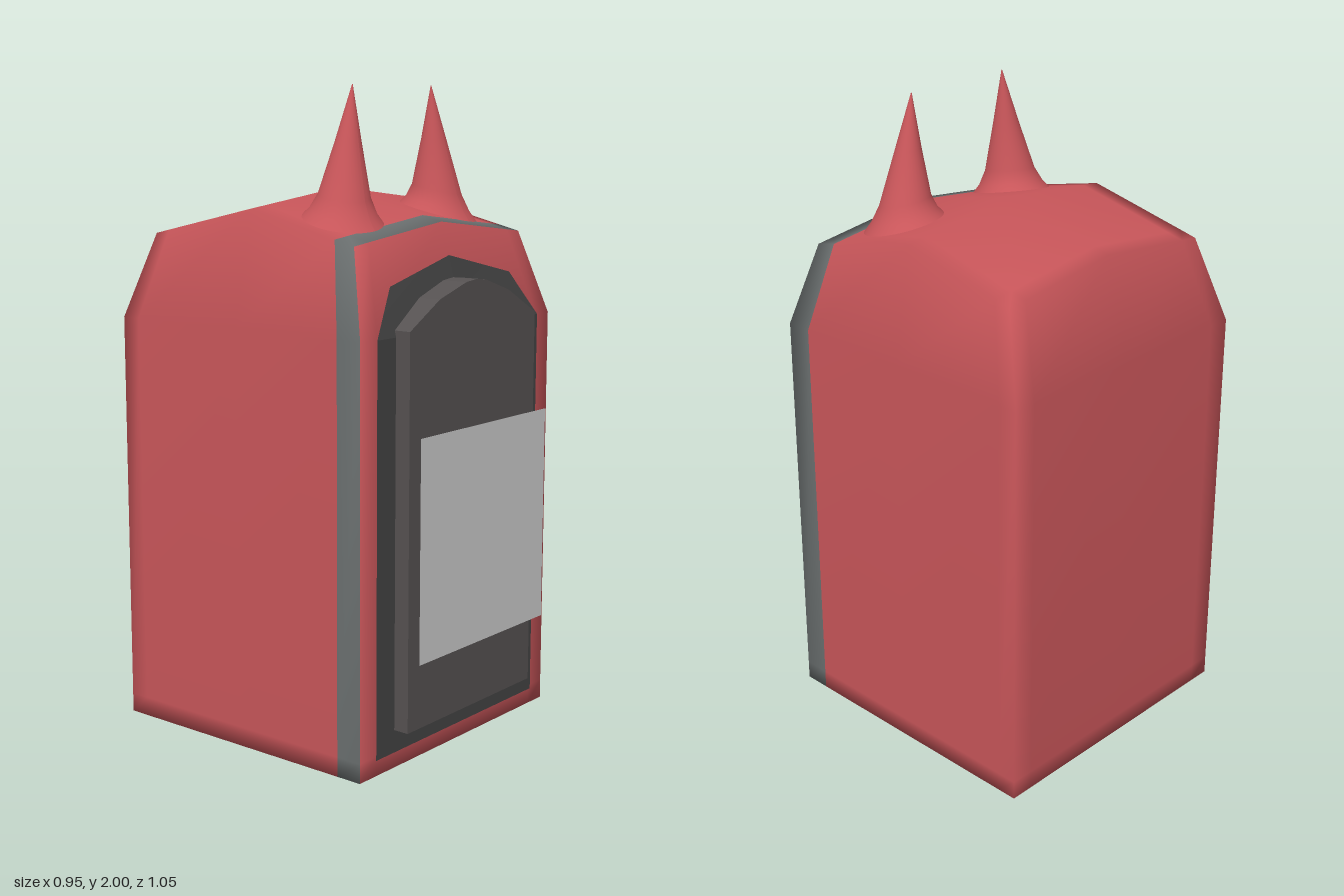
import * as THREE from 'three';
import { mergeVertices } from 'three/addons/utils/BufferGeometryUtils.js';

const mat = (color, extra = {}) => new THREE.MeshStandardMaterial({ color, ...extra });
const red = mat(0xc9565a);
const trimGrey = mat(0x6b7070);
const frameDark = mat(0x444444, { side: THREE.DoubleSide });
const doorDark = mat(0x565252);
const paleGrey = mat(0xcccccc, { side: THREE.DoubleSide });

// Shallow hipped roof height
const roof = (x, z) => 1.69 - 0.23 * Math.abs(z + 0.05) - 0.12 * Math.abs(x);
// Front wall: upright, then leaning back above the shoulder
const front = (x, y) => 0.425 - 0.075 * Math.max(0, y - 1.29) / (roof(x, 0.35) - 1.29);

function add(parent, name, geometry, material) {
  const mesh = new THREE.Mesh(geometry, material);
  mesh.name = name;
  parent.add(mesh);
  return mesh;
}

function outline(points) {
  return new THREE.Shape(points.map(([x, y]) => new THREE.Vector2(x, y)));
}

// Smooth shell on a grid with narrow rows along the edges
function makeShell(parent) {
  const X = [-0.475, -0.4, 0, 0.4, 0.475];
  const Y = [0, 0.06, 1.29, 1.57];
  const Z = [-0.525, -0.46, -0.05, 0.34, 0.425];
  const box = new THREE.BoxGeometry(1, 1, 1, 4, 3, 4);
  box.deleteAttribute('uv');
  box.deleteAttribute('normal');
  const shell = mergeVertices(box);
  const pos = shell.attributes.position;
  const zLevel = [];
  for (let i = 0; i < pos.count; i++) {
    const level = (v, n) => Math.round((v + 0.5) * n);
    const j = level(pos.getY(i), 3);
    zLevel[i] = level(pos.getZ(i), 4);
    let x = X[level(pos.getX(i), 4)], y = Y[j], z = Z[zLevel[i]];
    if (j === 3) {
      x *= 0.41 / 0.475;
      z = -0.045 + (z + 0.05) * 0.83;
      y = roof(x, z);
    }
    pos.setXYZ(i, x, y, z);
  }
  shell.computeVertexNormals();

  // The row just behind the front edge is the grey trim
  const bodyIndex = [], trimIndex = [];
  for (let i = 0; i < shell.index.count; i += 3) {
    const tri = [0, 1, 2].map((k) => shell.index.getX(i + k));
    const inBand = tri.every((v) => zLevel[v] >= 3);
    const onFront = tri.every((v) => zLevel[v] === 4);
    (inBand && !onFront ? trimIndex : bodyIndex).push(...tri);
  }
  const trim = shell.clone();
  shell.setIndex(bodyIndex);
  trim.setIndex(trimIndex);
  add(parent, 'body', shell, red);
  add(parent, 'edgeTrim', trim, trimGrey);
}

// Dark surround lying on the front wall
function makeFrame(parent) {
  const pieces = [
    [[-0.405, 0.05], [0.405, 0.05], [0.405, 1.29], [-0.405, 1.29]],
    [[-0.405, 1.29], [0, 1.29], [0, 1.5], [-0.3, 1.43]],
    [[0, 1.29], [0.405, 1.29], [0.3, 1.43], [0, 1.5]],
  ];
  const frame = new THREE.Group();
  frame.name = 'doorFrame';
  for (const points of pieces) {
    const geometry = new THREE.ShapeGeometry(outline(points));
    const p = geometry.attributes.position;
    for (let i = 0; i < p.count; i++) p.setZ(i, front(p.getX(i), p.getY(i)) + 0.005);
    geometry.computeVertexNormals();
    add(frame, 'framePanel', geometry, frameDark);
  }
  parent.add(frame);
}

// Flared cone whose base follows the roof and whose tip leans inward
function makeHorn(parent, name, x0, z0, tipX) {
  const profile = [[0.125, -0.005], [0.1, 0.025], [0.078, 0.07], [0.04, 0.225], [0.001, 0.395]];
  const horn = new THREE.LatheGeometry(profile.map(([r, y]) => new THREE.Vector2(r, y)), 32);
  const p = horn.attributes.position;
  for (let i = 0; i < p.count; i++) {
    const t = Math.max(0, p.getY(i) / 0.395);
    const x = x0 + p.getX(i) + (tipX - x0) * t;
    const z = z0 + p.getZ(i);
    const base = THREE.MathUtils.lerp(roof(x, z), 1.605, t);
    p.setXYZ(i, x, base + p.getY(i), z);
  }
  horn.computeVertexNormals();
  add(parent, name, horn, red);
}

export function createModel() {
  const model = new THREE.Group();
  model.name = 'hornedCabinet';

  makeShell(model);
  makeFrame(model);

  // Raised door with an arched top
  const doorShape = outline([
    [-0.32, 0.12], [0.315, 0.12], [0.315, 1.31], [0.17, 1.39],
    [0.05, 1.43], [0, 1.435], [-0.05, 1.43], [-0.18, 1.39], [-0.32, 1.31],
  ]);
  const door = new THREE.ExtrudeGeometry(doorShape, { depth: 0.1, bevelEnabled: false });
  add(model, 'door', door, doorDark).position.z = 0.38;

  // Upright handle, half sunk into the door
  const handle = new THREE.CylinderGeometry(0.043, 0.043, 0.21, 24);
  add(model, 'handle', handle, red).position.set(0.232, 0.825, 0.471);

  // Flat sheet floating in front of the door
  const sheet = new THREE.PlaneGeometry(0.64, 0.67);
  add(model, 'frontSheet', sheet, paleGrey).position.set(-0.005, 0.675, 0.525);

  makeHorn(model, 'rightHorn', -0.25, 0.175, -0.205);
  makeHorn(model, 'leftHorn', 0.225, 0.17, 0.183);
  return model;
}
